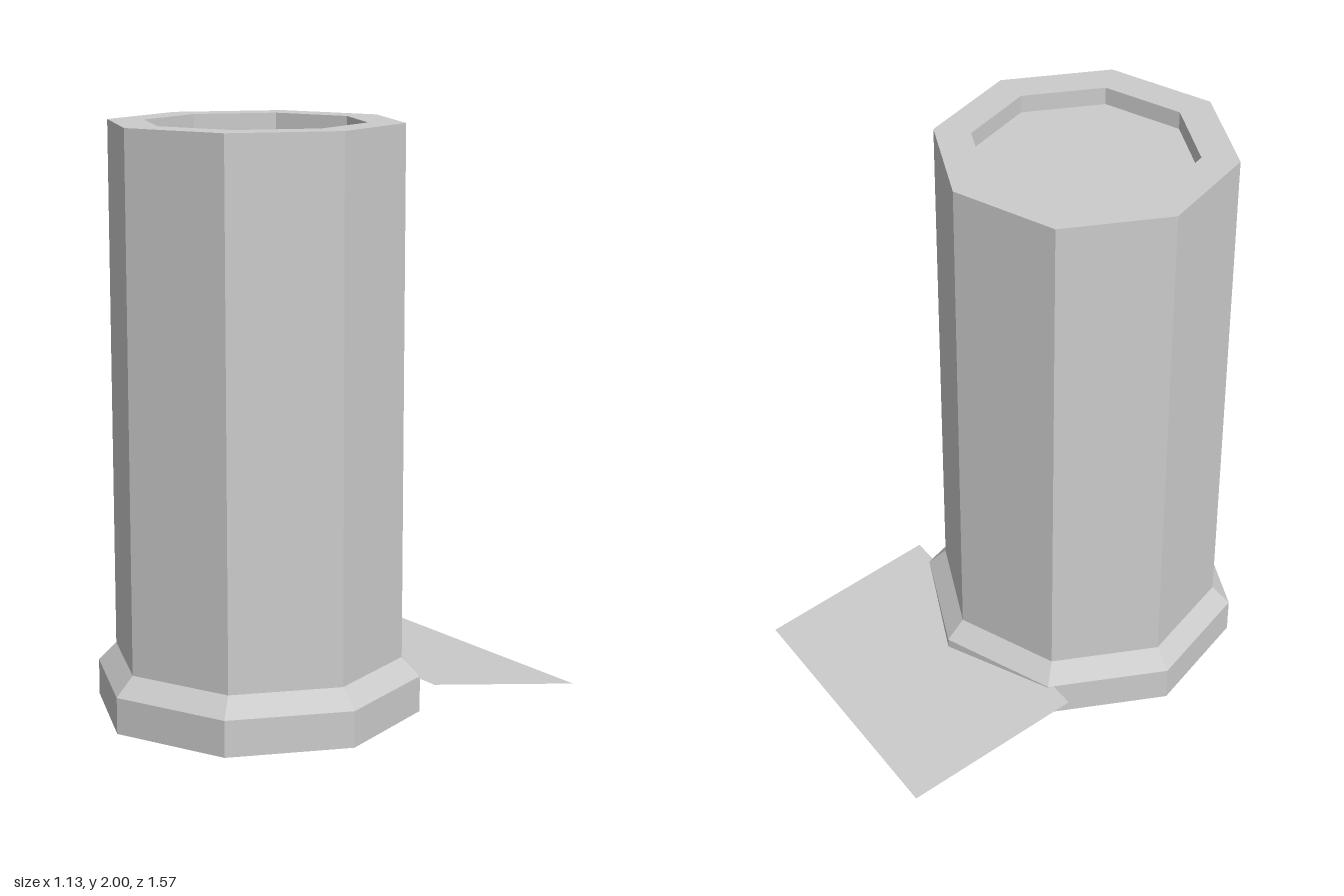
import * as THREE from 'three';

const SIDES = 8;
const AXIS_Z = 0.22;

// Faceted surface of revolution; the profile runs from bottom to top, [radius, height]
function facetedLathe(profile) {
  const points = profile.map(([r, y]) => new THREE.Vector2(r, y));
  const geometry = new THREE.LatheGeometry(points, SIDES).toNonIndexed();
  geometry.computeVertexNormals();
  return geometry;
}

export function createModel() {
  const group = new THREE.Group();
  const grey = new THREE.MeshStandardMaterial({ color: 0xcccccc, side: THREE.DoubleSide });
  grey.name = 'light grey';

  const add = (name, geometry, z = 0) => {
    const mesh = new THREE.Mesh(geometry, grey);
    mesh.name = name;
    mesh.position.z = z;
    group.add(mesh);
  };

  // Octagonal foot with a closed bottom and a bevel up to the shaft
  add('base', facetedLathe([[0, 0], [0.563, 0], [0.563, 0.125], [0.5, 0.19]]), AXIS_Z);

  // Tall shaft, flat rim and shallow recess in the top
  add('shaft', facetedLathe([[0.5, 0.19], [0.5, 2], [0.375, 2], [0.375, 1.9375], [0, 1.9375]]), AXIS_Z);

  // Thin sheet behind the base, sloping down towards the back
  const zIn = -0.16, zOut = -0.785, yIn = 0.125, yOut = 0.01;
  const sheet = new THREE.PlaneGeometry(1, Math.hypot(zIn - zOut, yIn - yOut));
  sheet.rotateX(-Math.PI / 2 - Math.atan2(yIn - yOut, zIn - zOut));
  sheet.translate(0, (yIn + yOut) / 2, (zIn + zOut) / 2);
  add('backRamp', sheet);

  return group;
}
